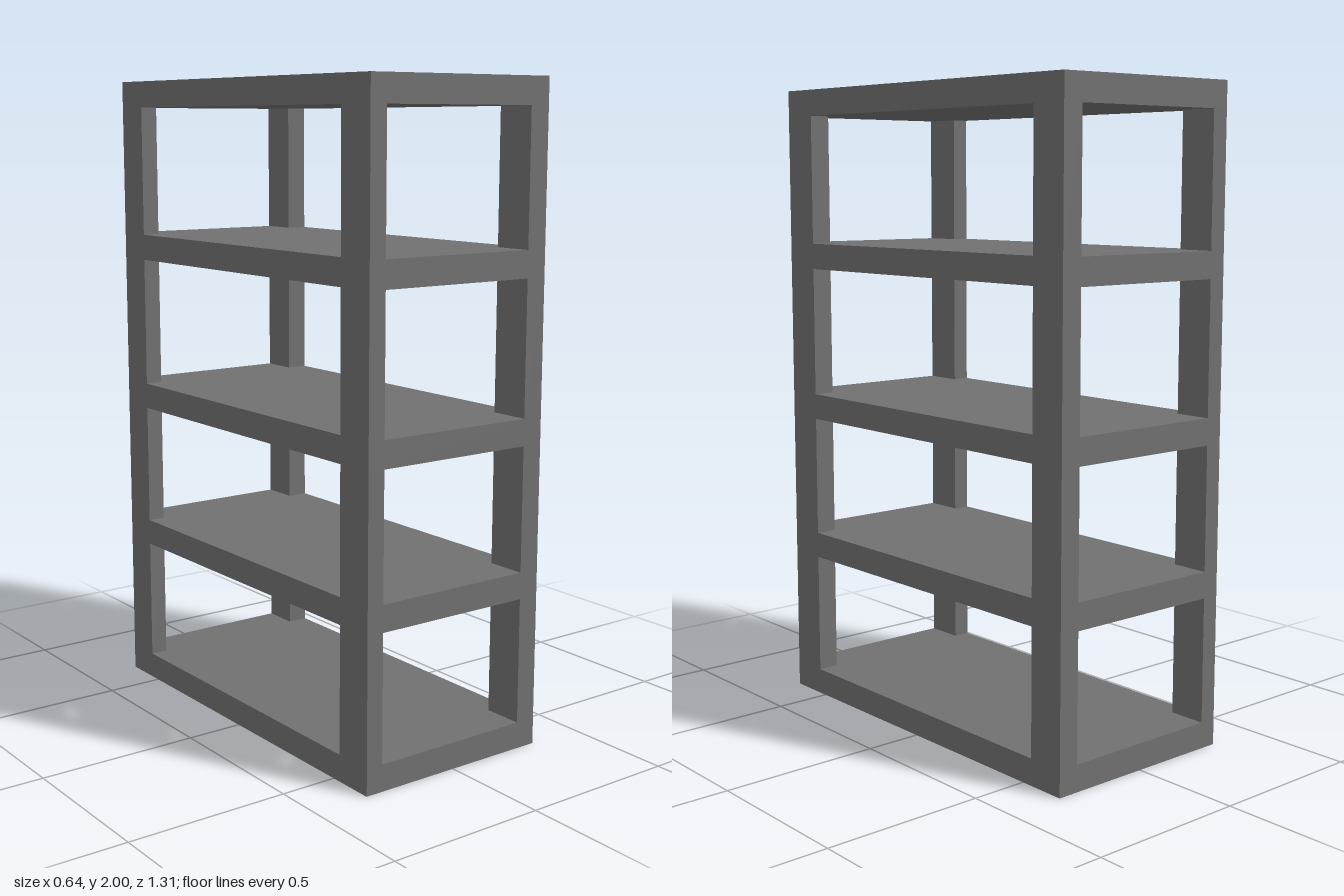
import * as THREE from 'three';

const material = new THREE.MeshStandardMaterial({ color: 0x707070 });

// Box spanning the given [min, max] ranges
function boxBetween(name, [x0, x1], [y0, y1], [z0, z1]) {
  const mesh = new THREE.Mesh(new THREE.BoxGeometry(x1 - x0, y1 - y0, z1 - z0), material);
  mesh.position.set((x0 + x1) / 2, (y0 + y1) / 2, (z0 + z1) / 2);
  mesh.name = name;
  return mesh;
}

export function createModel() {
  const model = new THREE.Group();
  model.name = 'shelfRack';

  const halfWidth = 0.322, halfDepth = 0.655, thickness = 0.082;
  const shelfBottoms = [0, 0.471, 0.937, 1.429, 2 - thickness];

  // Full-size shelf boards, from base to top
  const shelves = new THREE.Group();
  shelves.name = 'shelves';
  shelfBottoms.forEach((y, i) => shelves.add(boxBetween(`shelf${i + 1}`,
    [-halfWidth, halfWidth], [y, y + thickness], [-halfDepth, halfDepth])));
  model.add(shelves);

  // Flat corner posts, slightly uneven in section, filling each gap between boards
  const sidesX = { Right: [-halfWidth, -0.267], Left: [0.255, halfWidth] };
  const endsZ = { front: [0.528, halfDepth], back: [-halfDepth, -0.535] };
  for (const [end, z] of Object.entries(endsZ)) {
    for (const [side, x] of Object.entries(sidesX)) {
      const post = new THREE.Group();
      post.name = `${end}${side}Post`;
      for (let i = 0; i < shelfBottoms.length - 1; i++) {
        const span = [shelfBottoms[i] + thickness, shelfBottoms[i + 1]];
        post.add(boxBetween(`postSection${i + 1}`, x, span, z));
      }
      model.add(post);
    }
  }
  return model;
}
